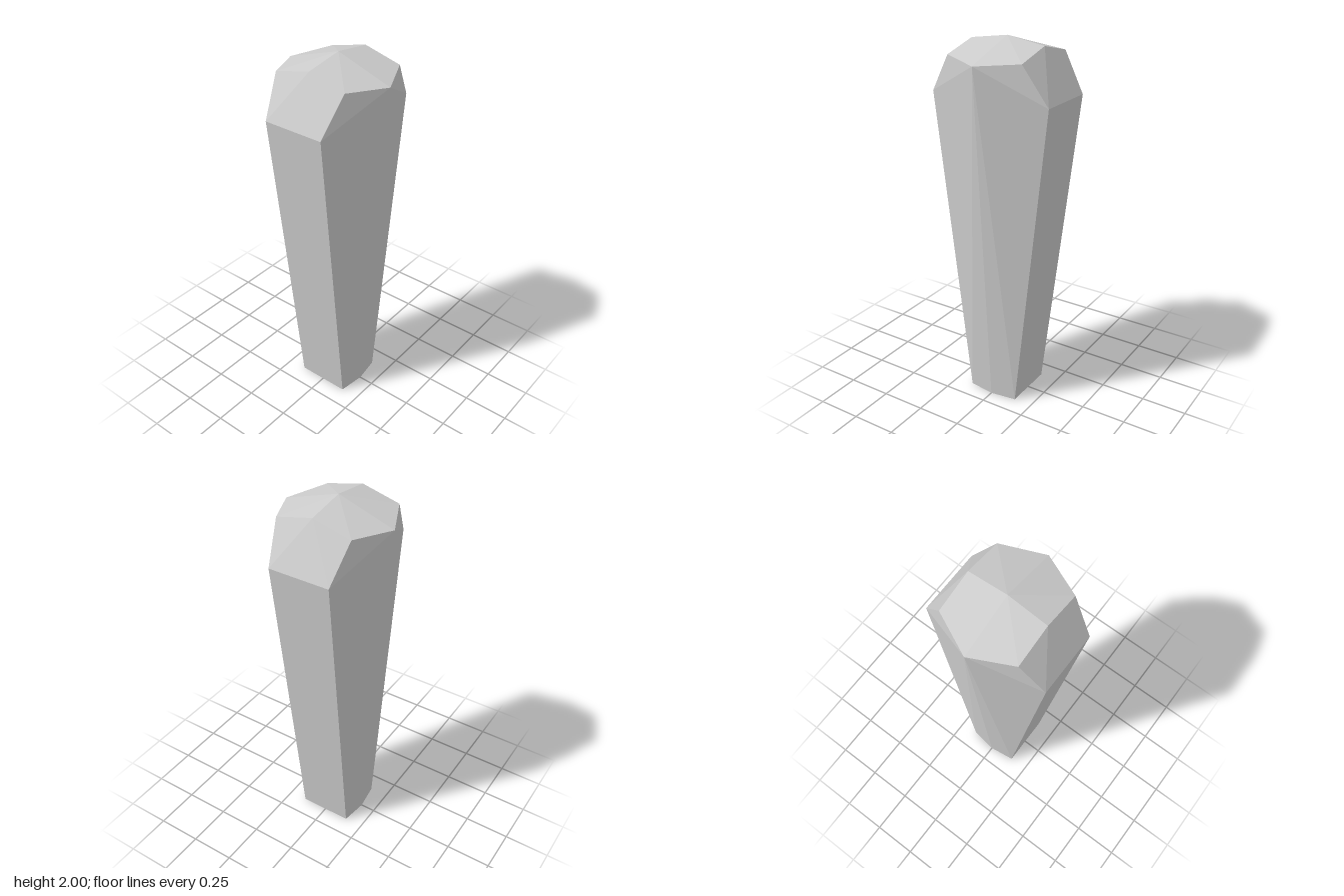
import * as THREE from 'three';
import { ConvexGeometry } from 'three/addons/geometries/ConvexGeometry.js';

export function createModel() {
  const group = new THREE.Group();
  group.name = 'taperedGem';

  // Corners of one quarter (+x, +z); the rest follows by mirroring
  const quarter = [
    [0, 0, 0.167], [0.145, 0, 0.147],            // foot
    [0, 1.9, 0.304], [0.339, 1.715, 0.168],      // shoulder
    [0.213, 1.917, 0.206], [0.213, 1.968, 0],    // crown
    [0, 2, 0],                                   // peak
  ];

  const points = [];
  for (const [x, y, z] of quarter) {
    for (const sx of x ? [1, -1] : [1]) {
      for (const sz of z ? [1, -1] : [1]) {
        points.push(new THREE.Vector3(sx * x, y, sz * z));
      }
    }
  }

  // Faceted hexagonal shaft with a bevelled crown
  const body = new THREE.Mesh(
    new ConvexGeometry(points),
    new THREE.MeshStandardMaterial({ color: 0xcccccc, flatShading: true })
  );
  body.name = 'facetedBody';
  group.add(body);
  return group;
}
